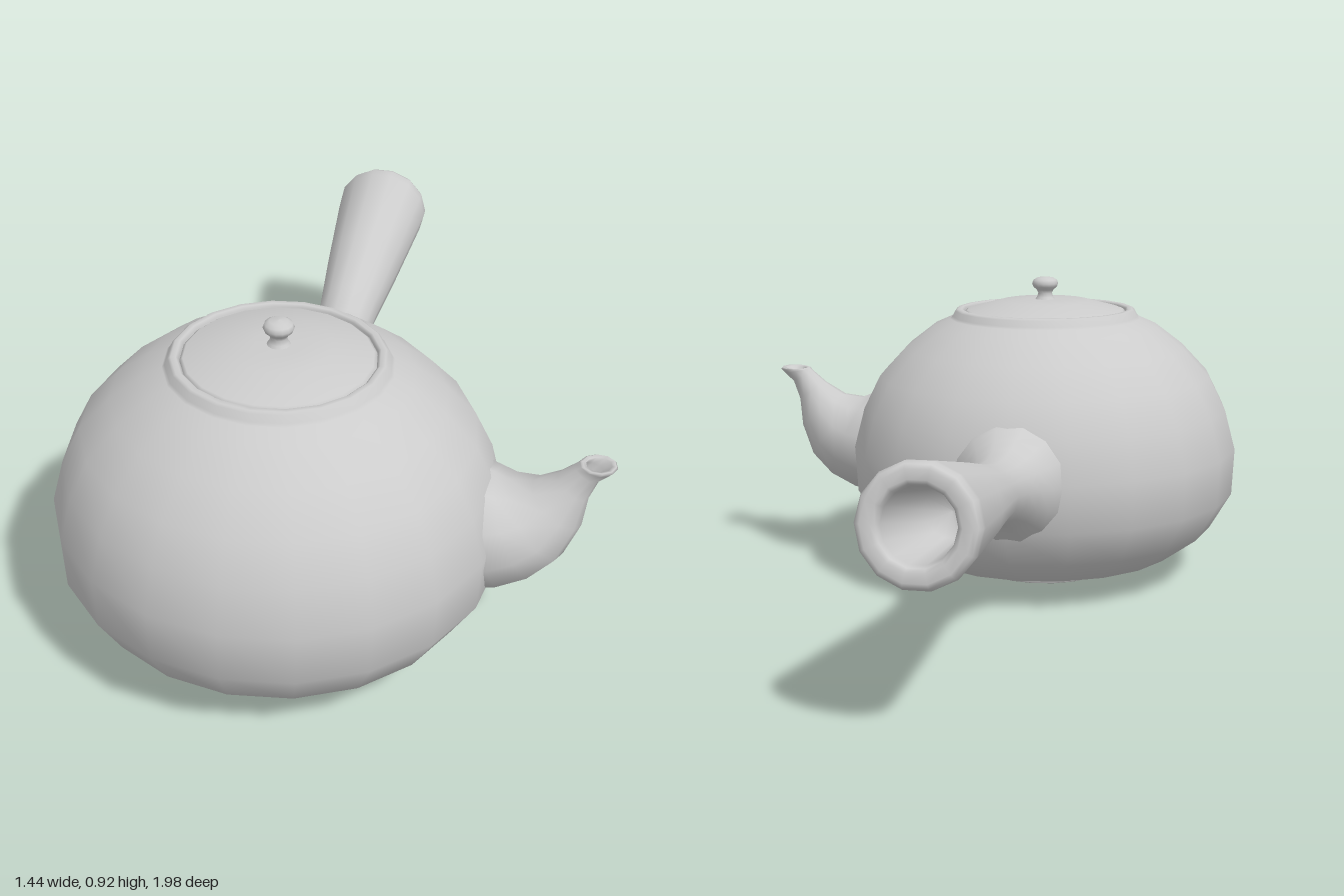
import * as THREE from 'three';

const material = new THREE.MeshStandardMaterial({ color: 0xcccccc, side: THREE.DoubleSide });

// Round tube running along +z; each ring is [z, y, radius, pitch of the axis]
function sweep(rings, sides, turn = 0) {
  const positions = [], index = [];
  rings.forEach(([z, y, r, pitch], i) => {
    for (let j = 0; j < sides; j++) {
      const t = turn + (j / sides) * Math.PI * 2;
      const up = r * Math.sin(t);
      positions.push(r * Math.cos(t), y + up * Math.cos(pitch), z - up * Math.sin(pitch));
      if (i === rings.length - 1) continue;
      const a = i * sides + j, b = i * sides + (j + 1) % sides;
      index.push(a, b, b + sides, a, b + sides, a + sides);
    }
  });
  const geometry = new THREE.BufferGeometry();
  geometry.setAttribute('position', new THREE.Float32BufferAttribute(positions, 3));
  geometry.setIndex(index);
  geometry.computeVertexNormals();
  return geometry;
}

function lathe(profile, sides) {
  return new THREE.LatheGeometry(profile.map(([r, y]) => new THREE.Vector2(r, y)), sides);
}

export function createModel() {
  const pot = new THREE.Group();
  pot.name = 'teapot';
  pot.position.set(-0.14, 0, 0.41);

  function add(name, geometry, heading = 0) {
    const mesh = new THREE.Mesh(geometry, material);
    mesh.name = name;
    mesh.rotation.y = heading;
    pot.add(mesh);
  }

  // Body with recessed foot and raised rim
  add('body', lathe([
    [0, 0.03], [0.175, 0.028], [0.185, 0.022], [0.188, 0.003], [0.194, 0], [0.206, 0],
    [0.21, 0.004], [0.21, 0.013], [0.216, 0.016], [0.41, 0.07], [0.52, 0.15], [0.585, 0.26],
    [0.592, 0.4], [0.56, 0.52], [0.51, 0.62], [0.43, 0.705], [0.345, 0.77], [0.293, 0.793],
    [0.286, 0.8], [0.277, 0.817], [0.27, 0.822], [0.257, 0.822], [0.25, 0.816], [0.247, 0.79],
  ], 20), 0.11);

  // Low domed lid
  add('lid', lathe([
    [0.25, 0.795], [0.248, 0.812], [0.24, 0.818], [0.135, 0.846], [0.06, 0.849], [0, 0.85],
  ], 20), 0.11);

  // Lid knob
  add('knob', lathe([
    [0.034, 0.845], [0.025, 0.856], [0.021, 0.868], [0.026, 0.878], [0.036, 0.887],
    [0.04, 0.897], [0.036, 0.908], [0.024, 0.915], [0, 0.918],
  ], 14));

  // Side handle: flared root, widening grip, rounded lip and bore
  const pitch = 0.149;
  const axisY = z => 0.43 + 0.15 * (z - 0.81);
  const handle = [
    [0.5, 0.19], [0.56, 0.16], [0.6, 0.135], [0.65, 0.111], [0.72, 0.092], [0.81, 0.084],
    [0.92, 0.091], [1.155, 0.116], [1.47, 0.145], [1.495, 0.146], [1.51, 0.139], [1.515, 0.128],
    [1.515, 0.104], [1.508, 0.094], [1.49, 0.088], [1.2, 0.066], [1.19, 0],
  ].map(([z, r], i) => [z, axisY(z), r, i < 4 ? pitch * i / 4 : pitch]);
  add('handle', sweep(handle, 14), Math.atan2(0.486, -0.874));

  // Curved spout with a small flared, hollow mouth
  add('spout', sweep([
    [0.48, 0.385, 0.175, 0.1], [0.56, 0.392, 0.168, 0.25], [0.62, 0.405, 0.15, 0.45],
    [0.67, 0.43, 0.125, 0.7], [0.72, 0.48, 0.085, 0.92], [0.755, 0.54, 0.05, 0.98],
    [0.785, 0.585, 0.036, 1.1], [0.805, 0.604, 0.042, 1.4], [0.812, 0.611, 0.046, 1.55],
    [0.812, 0.614, 0.042, 1.6], [0.811, 0.612, 0.032, 1.6], [0.8, 0.596, 0.026, 1.3],
    [0.755, 0.54, 0.022, 1], [0.752, 0.537, 0, 1],
  ], 10, 0.2), Math.atan2(0.876, 0.482));

  const model = new THREE.Group();
  model.name = 'sideHandleTeapot';
  model.add(pot);
  return model;
}
